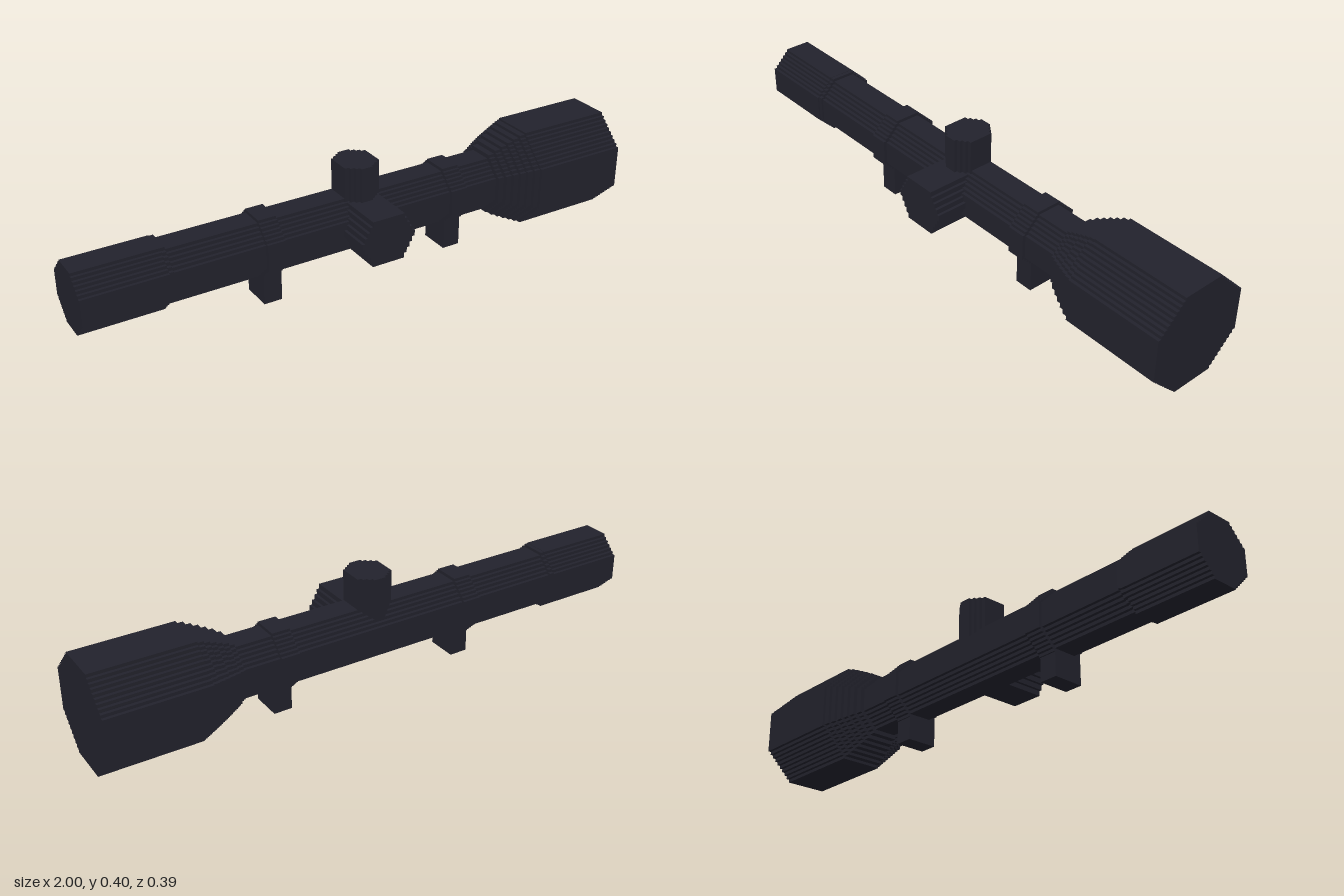
import * as THREE from 'three';

// Outline with stair-stepped corners: half sizes w,h and half lengths fw,fh of the flats
function steppedShape(w, h, fw, fh, n) {
  const quarter = [[w, fh]];
  for (let i = 1; i <= n; i++) {
    const x = w + (fw - w) * i / n;
    quarter.push([x, fh + (h - fh) * (i - 1) / n], [x, fh + (h - fh) * i / n]);
  }
  const back = [...quarter].reverse();
  const pts = [
    ...quarter,
    ...back.map(([x, y]) => [-x, y]),
    ...quarter.map(([x, y]) => [-x, -y]),
    ...back.map(([x, y]) => [x, -y]),
  ];
  return new THREE.Shape(pts.map(([x, y]) => new THREE.Vector2(x, y)));
}

const extrude = (shape, depth) =>
  new THREE.ExtrudeGeometry(shape, { depth, bevelEnabled: false });

export function createModel() {
  const group = new THREE.Group();
  const darkMetal = new THREE.MeshStandardMaterial({ color: 0x22222c });
  darkMetal.name = 'darkMetal';
  const CY = 0.19, CZ = -0.018, VOXEL = 0.0108;

  function add(name, geometry) {
    const mesh = new THREE.Mesh(geometry, darkMetal);
    mesh.name = name;
    group.add(mesh);
  }

  // Octagonal section of the body lying along x
  function section(name, x0, x1, r, cy = CY) {
    const flat = r * 0.433;
    const n = Math.round((r - flat) / VOXEL);
    const g = extrude(steppedShape(r, r, flat, flat, n), x1 - x0);
    g.rotateY(Math.PI / 2);
    g.translate(x0, cy, CZ);
    add(name, g);
  }

  // Body: eyepiece, main tube, flared bell
  section('eyepiece', -1, -0.715, 0.108);
  section('eyepieceCollar', -0.715, -0.7, 0.103, 0.194);
  section('mainTube', -0.7, 0.515, 0.097);
  const flare = [0.112, 0.126, 0.137, 0.148, 0.158, 0.168];
  const dx = (0.65 - 0.515) / flare.length;
  flare.forEach((r, i) => section('bellFlare', 0.515 + i * dx, 0.515 + (i + 1) * dx, r));
  section('objectiveBell', 0.65, 1, 0.1765, 0.1885);

  // Mounting rings and feet
  for (const s of [-1, 1]) {
    section('mountRing', s * 0.352 - 0.032, s * 0.352 + 0.032, 0.108);
    const foot = new THREE.BoxGeometry(0.065, 0.12, 0.11);
    foot.translate(s * 0.352, 0.06, -0.005);
    add('mountFoot', foot);
  }

  // Elevation knob on top
  const top = extrude(steppedShape(0.065, 0.0765, 0.022, 0.044, 3), 0.157);
  top.rotateX(-Math.PI / 2);
  top.translate(0, 0.24, -0.0165);
  add('elevationKnob', top);

  // Hexagonal windage knob on the front side
  const side = extrude(steppedShape(0.1, 0.082, 0.06, 0.011, 4), 0.162);
  side.translate(0, 0.193, 0.03);
  add('windageKnob', side);

  return group;
}
